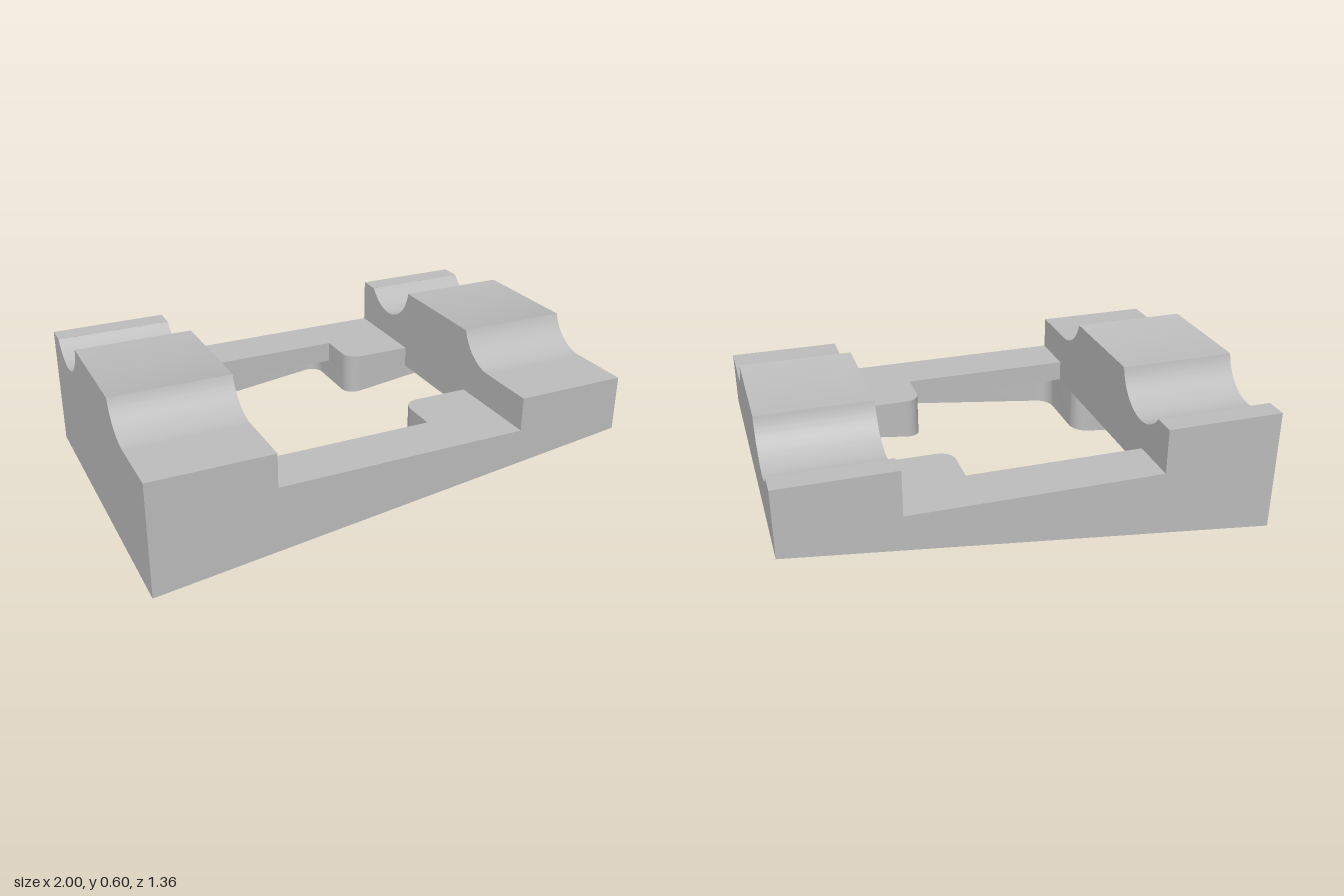
import * as THREE from 'three';
import { toCreasedNormals } from 'three/addons/utils/BufferGeometryUtils.js';

const HALF_Z = 0.68, CEILING = 0.24, DECK = 0.33, FILLET = 0.065;

// Closed path through [x, z, radius] corners, rounding those with a radius
function roundedPath(path, corners) {
  const n = corners.length, k = 0.5523;
  corners.forEach(([x, y, r = 0], i) => {
    const toward = (j) => {
      const d = new THREE.Vector2(corners[j][0] - x, corners[j][1] - y).normalize();
      return (t) => [x + d.x * t, y + d.y * t];
    };
    const before = toward((i + n - 1) % n), after = toward((i + 1) % n);
    const start = before(r);
    if (i === 0) path.moveTo(...start); else path.lineTo(...start);
    if (r) path.bezierCurveTo(...before(r * (1 - k)), ...after(r * (1 - k)), ...after(r));
  });
  path.closePath();
  return path;
}

// Completes an outline given for one side by mirroring it across z = 0
const mirrorZ = (half) => [...half, ...half.map(([x, z, r]) => [x, -z, r]).reverse()];

// Horizontal slab with one opening, from y0 to y1
function slab(hole, y0, y1) {
  const shape = roundedPath(new THREE.Shape(), mirrorZ([[1, HALF_Z], [-1, HALF_Z]]));
  shape.holes.push(roundedPath(new THREE.Path(), mirrorZ(hole)));
  const geo = new THREE.ExtrudeGeometry(shape, { depth: y1 - y0, bevelEnabled: false, curveSegments: 10 });
  return geo.rotateX(-Math.PI / 2).translate(0, y0, 0);
}

// Saddle cross-section, drawn with -z to the right
function saddleProfile() {
  const s = new THREE.Shape(), r = 0.188;
  s.moveTo(-HALF_Z, DECK);
  s.lineTo(HALF_Z, DECK);
  s.lineTo(HALF_Z, 0.52);
  s.lineTo(0.583, 0.52);
  s.absarc(0.433, 0.633, r, Math.atan2(-0.113, 0.15), Math.atan2(-0.033, -0.185), true);
  s.lineTo(0.248, 0.6);
  s.lineTo(-0.246, 0.6);
  s.absarc(-0.425, 0.658, r, Math.atan2(-0.058, 0.179), -Math.PI / 2, true);
  s.lineTo(-HALF_Z, 0.47);
  s.closePath();
  return s;
}

export function createModel() {
  const model = new THREE.Group();
  const grey = new THREE.MeshStandardMaterial({ color: 0xbcbcbc });
  grey.name = 'grey';
  const add = (name, geo) => {
    const mesh = new THREE.Mesh(toCreasedNormals(geo, 0.6), grey);
    mesh.name = name;
    model.add(mesh);
  };

  // Wedge base with a cross-shaped pocket, its underside sloping up towards +x
  const base = slab([
    [0.92, 0.255, FILLET], [0.235, 0.255, FILLET], [0.235, 0.61, FILLET],
    [-0.51, 0.61, FILLET], [-0.51, 0.255, FILLET], [-0.88, 0.255, FILLET],
  ], 0, CEILING);
  const p = base.attributes.position;
  for (let i = 0; i < p.count; i++) {
    if (p.getY(i) < CEILING / 2) p.setY(i, CEILING * (p.getX(i) + 1) / 2);
  }
  base.computeVertexNormals();
  add('wedgeBase', base);

  // Deck roofing the pocket, with the through opening
  add('deck', slab([
    [0.535, 0.255], [0.235, 0.255, FILLET], [0.235, 0.46], [-0.51, 0.46],
  ], CEILING, DECK));

  // Saddle blocks at both ends
  for (const [name, x0, x1] of [['rightSaddle', -1, -0.51], ['leftSaddle', 0.535, 1]]) {
    const geo = new THREE.ExtrudeGeometry(saddleProfile(), { depth: x1 - x0, bevelEnabled: false, curveSegments: 24 });
    add(name, geo.rotateY(Math.PI / 2).translate(x0, 0, 0));
  }
  return model;
}
